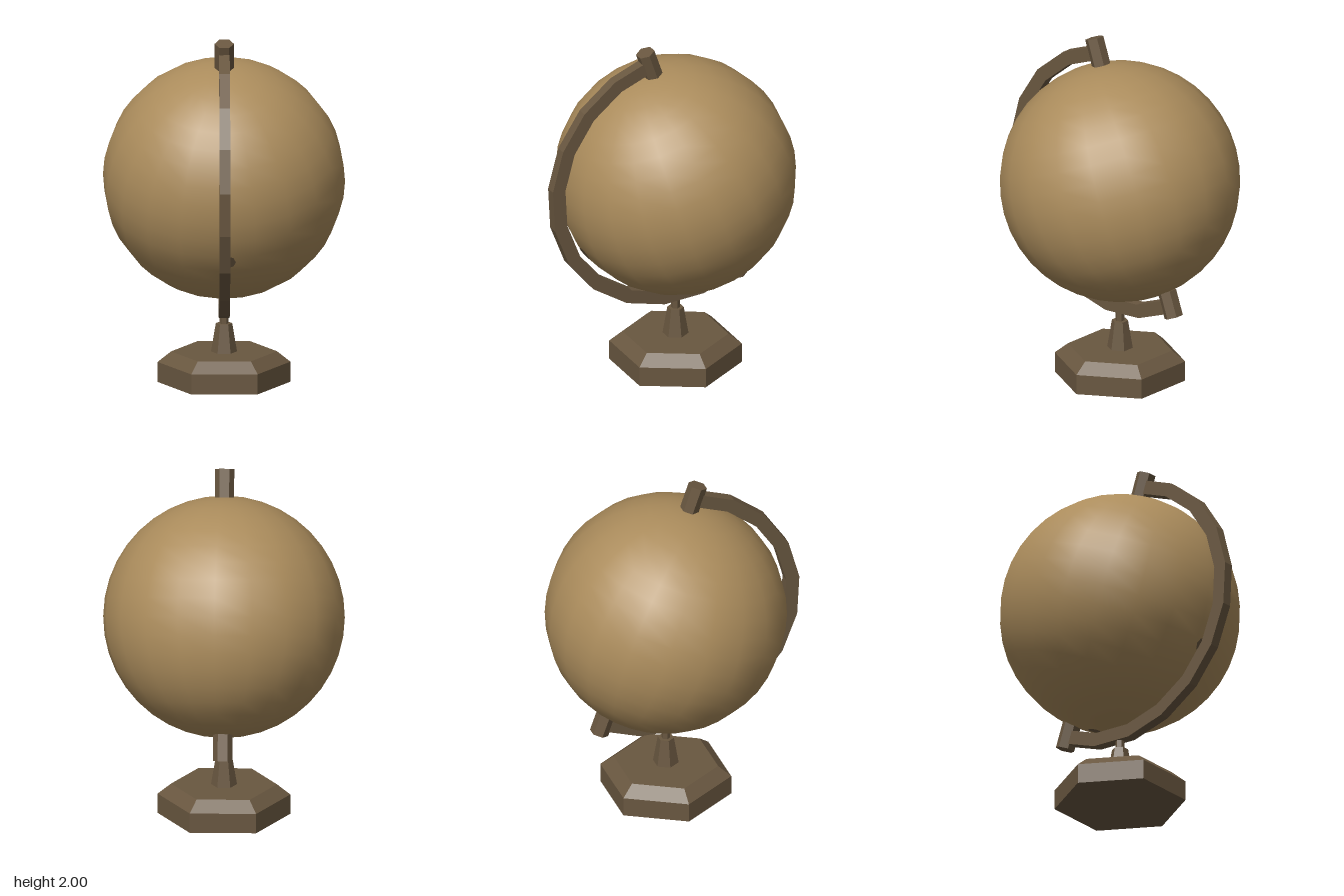
import * as THREE from 'three';

const CY = 1.172, CZ = -0.053; // globe centre

export function createModel() {
  const group = new THREE.Group();
  const tan = new THREE.MeshStandardMaterial({ color: 0xab8c5c });
  tan.name = 'globe tan';
  const brown = new THREE.MeshStandardMaterial({ color: 0x695740, flatShading: true });
  brown.name = 'stand brown';

  const add = (name, geometry, material) => {
    const mesh = new THREE.Mesh(geometry, material);
    mesh.name = name;
    group.add(mesh);
    return mesh;
  };

  // Six-sided column with corners pointing to +x and -x
  const hex = (name, rTop, rBottom, y0, y1) => {
    const geometry = new THREE.CylinderGeometry(rTop, rBottom, y1 - y0, 6, 1, false, Math.PI / 6);
    const mesh = add(name, geometry, brown);
    mesh.position.set(0, (y0 + y1) / 2, CZ);
    return mesh;
  };

  // Stand
  hex('base', 0.372, 0.372, 0, 0.115);
  hex('baseBevel', 0.297, 0.372, 0.115, 0.175);
  hex('stem', 0.046, 0.073, 0.175, 0.337);
  hex('stemPin', 0.025, 0.025, 0.337, 0.44);

  // Globe, tilted forward on its axis
  const globe = add('globe', new THREE.SphereGeometry(0.679, 20, 20), tan);
  globe.position.set(0, CY, CZ);
  globe.rotation.set(THREE.MathUtils.degToRad(20), THREE.MathUtils.degToRad(-3.5), 0);

  // Curved arm: a faceted band swept from the top cap round the front to the lower cap
  const angles = [102.5];
  for (let i = 0; i < 10; i++) angles.push(120 + i * 18);
  angles.push(299);
  const ring = (r) => angles.map((deg) => {
    const a = THREE.MathUtils.degToRad(deg);
    return new THREE.Vector2(-Math.cos(a) * r, Math.sin(a) * r);
  });
  const band = new THREE.Shape([...ring(0.791), ...ring(0.712).reverse()]);
  const armGeometry = new THREE.ExtrudeGeometry(band, { depth: 0.06, bevelEnabled: false });
  armGeometry.translate(0, 0, -0.03).rotateY(-Math.PI / 2);
  add('arm', armGeometry, brown).position.set(0, CY, CZ);

  // Hexagonal caps at both ends of the axis
  const up = new THREE.Vector3(0, 1, 0);
  const cap = (name, bottom, top) => {
    const length = bottom.distanceTo(top);
    const mesh = add(name, new THREE.CylinderGeometry(0.054, 0.054, length, 6, 1, false, Math.PI / 6), brown);
    mesh.position.copy(bottom).add(top).multiplyScalar(0.5);
    mesh.quaternion.setFromUnitVectors(up, top.clone().sub(bottom).normalize());
  };
  cap('topCap', new THREE.Vector3(0, 1.833, 0.087), new THREE.Vector3(0, 1.984, 0.138));
  cap('lowerCap', new THREE.Vector3(0, 0.457, -0.452), new THREE.Vector3(0, 0.6, -0.402));

  // Small dark spots on the globe
  const spot = (name, x, y, z, radius) => {
    const dir = new THREE.Vector3(x, y, z).normalize();
    const mesh = add(name, new THREE.CircleGeometry(radius, 8), brown);
    mesh.quaternion.setFromUnitVectors(new THREE.Vector3(0, 0, 1), dir);
    mesh.position.set(0, CY, CZ).addScaledVector(dir, 0.681);
  };
  spot('frontSpot', 0.025, -0.52, 0.85, 0.045);
  spot('poleSpot', 0.03, -0.955, -0.29, 0.04);

  return group;
}
